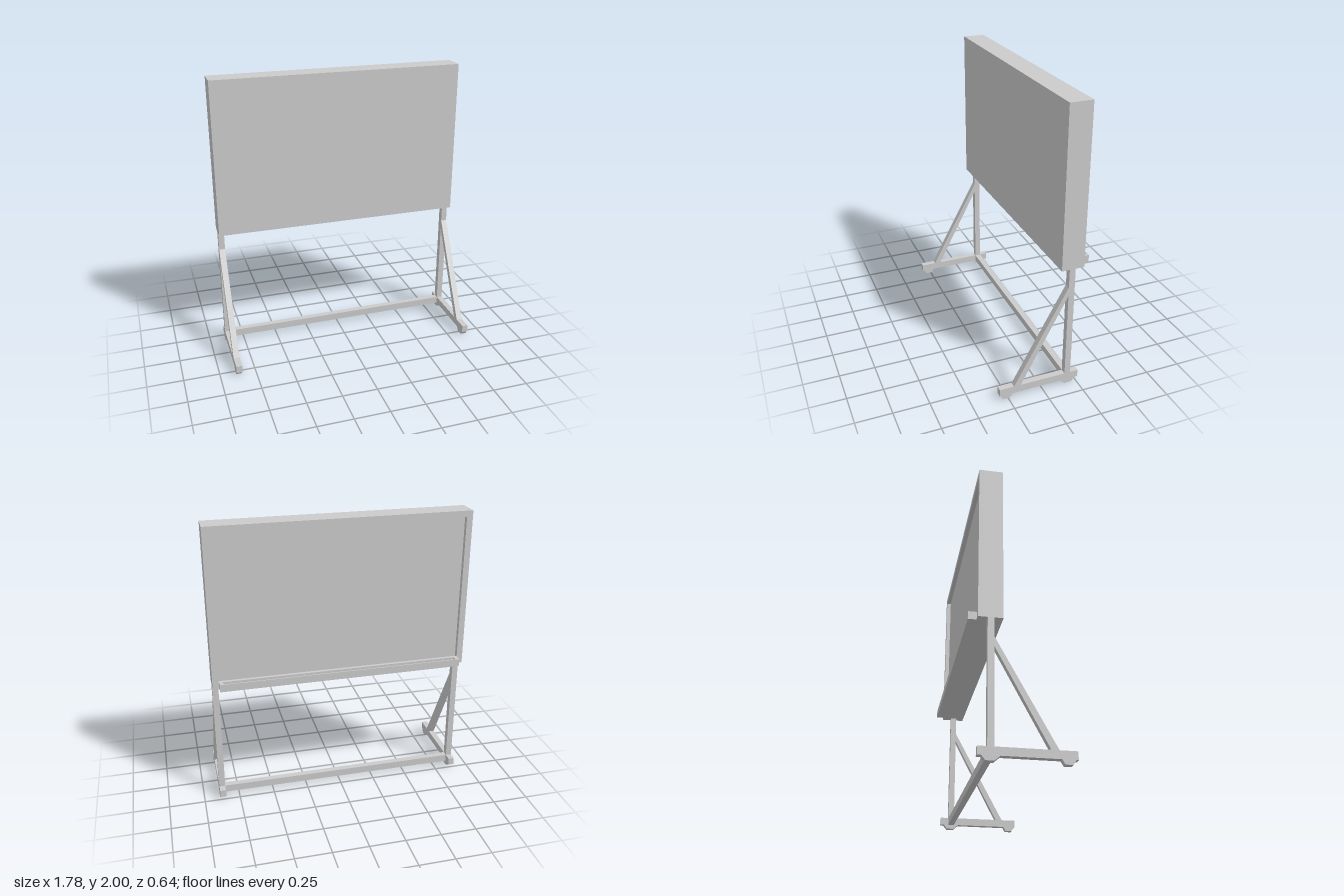
import * as THREE from 'three';

const material = new THREE.MeshStandardMaterial({ color: 0xcccccc, flatShading: true });

function add(parent, name, geometry) {
  const mesh = new THREE.Mesh(geometry, material);
  mesh.name = name;
  parent.add(mesh);
  return mesh;
}

// Box given by its lower and upper corners
function box(parent, name, [x0, y0, z0], [x1, y1, z1]) {
  const g = new THREE.BoxGeometry(x1 - x0, y1 - y0, z1 - z0);
  g.translate((x0 + x1) / 2, (y0 + y1) / 2, (z0 + z1) / 2);
  return add(parent, name, g);
}

const toPoints = (list) => list.map(([a, b]) => new THREE.Vector2(a, b));

// Side profile of [z, y] points, extruded across x from x0 to x1
function sideProfile(parent, name, points, x0, x1) {
  const g = new THREE.ExtrudeGeometry(new THREE.Shape(toPoints(points)), { depth: x1 - x0, bevelEnabled: false });
  g.rotateY(-Math.PI / 2).translate(x1, 0, 0);
  return add(parent, name, g);
}

// Rectangle with a rectangular opening, extruded along z
function rim(outer, inner, depth) {
  const corners = ([x, y0, y1]) => toPoints([[-x, y0], [x, y0], [x, y1], [-x, y1]]);
  const shape = new THREE.Shape(corners(outer));
  shape.holes.push(new THREE.Path(corners(inner).reverse()));
  return new THREE.ExtrudeGeometry(shape, { depth, bevelEnabled: false });
}

export function createModel() {
  const model = new THREE.Group();
  model.name = 'standingBoard';
  const W = 0.89, T = 0.042;

  // Board: solid front with a raised border around the recessed back
  box(model, 'boardPanel', [-W, 0.895, -0.235], [W, 2, -0.108]);
  add(model, 'boardFrame', rim([W, 0.895, 2], [0.848, 0.937, 1.958], 0.03).translate(0, 0, -0.265));

  // Tray on the back: floor plus rim
  const tray = new THREE.Group();
  tray.name = 'tray';
  model.add(tray);
  box(tray, 'trayFloor', [-0.845, 0.895, -0.32], [0.845, 0.925, -0.265]);
  const trayRim = rim([0.845, -0.32, -0.265], [0.82, -0.313, -0.28], 0.023);
  trayRim.rotateX(Math.PI / 2).scale(1, 1, 1);
  // Flat rim turned to lie level, front-to-back order kept
  trayRim.translate(0, 0.948, 0);
  add(tray, 'trayRim', trayRim);

  // Side stands
  for (const side of [-1, 1]) {
    const stand = new THREE.Group();
    stand.name = side > 0 ? 'leftStand' : 'rightStand';
    model.add(stand);
    const x0 = side > 0 ? W - T : -W, x1 = x0 + T;
    const front = side > 0 ? 0.31 : 0.318;
    box(stand, 'post', [x0, 0.08, -0.205], [x1, 0.895, -0.163]);
    // Base rail with two tapered feet underneath
    sideProfile(stand, 'baseRail', [
      [-0.262, 0.03], [-0.24, 0.03], [-0.215, 0], [-0.164, 0], [-0.13, 0.03],
      [0.222, 0.03], [0.24, 0], [0.286, 0], [0.305, 0.03], [front, 0.03],
      [front, 0.082], [-0.262, 0.082],
    ], x0, x1);
    sideProfile(stand, 'brace', [
      [0.162, 0.08], [0.21, 0.08], [-0.163, 0.765], [-0.163, 0.7],
    ], x0, x1);
  }

  // Low bar joining the two stands
  box(model, 'crossBar', [-W + T, 0.03, -0.205], [W - T, 0.082, -0.163]);
  return model;
}
